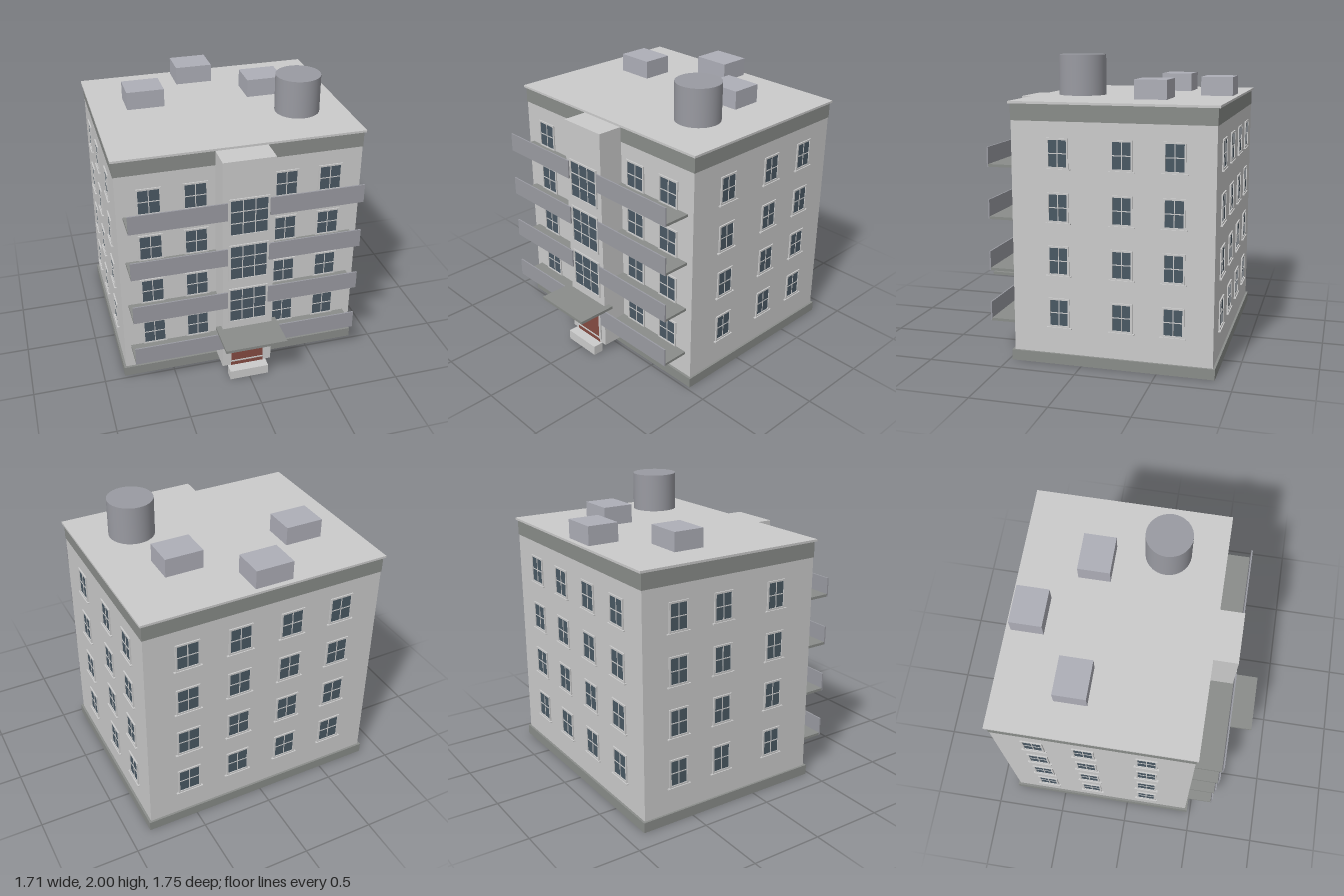
import * as THREE from 'three';

const material = (color) => new THREE.MeshStandardMaterial({ color });
const wallMat = material(0xcccccc);
const trimMat = material(0x8a8d8a);
const railMat = material(0x9a9ba2);
const ventMat = material(0xaeafb8);
const glassMat = material(0x4a5964);
const doorMat = material(0x854b42);

// Box given by its limits on each axis
function box(parent, name, mat, [x0, x1], [y0, y1], [z0, z1]) {
  const mesh = new THREE.Mesh(new THREE.BoxGeometry(x1 - x0, y1 - y0, z1 - z0), mat);
  mesh.position.set((x0 + x1) / 2, (y0 + y1) / 2, (z0 + z1) / 2);
  mesh.name = name;
  parent.add(mesh);
  return mesh;
}

// Window facing +z, bottom centre at the origin, on the wall plane z = 0
function makeWindow(w, h, cols, rows, sill = true) {
  const g = new THREE.Group();
  g.name = 'window';
  const f = 0.012, m = 0.003, d = 0.009;
  box(g, 'glass', glassMat, [-w / 2 + f, w / 2 - f], [f, h - f], [-0.005, 0.003]);
  for (const s of [-1, 1]) {
    const x = s * (w / 2 - f / 2);
    box(g, 'frameSide', wallMat, [x - f / 2, x + f / 2], [0, h], [-0.005, d]);
  }
  for (const y of [0, h - f]) {
    box(g, 'frameRail', wallMat, [-w / 2 + f, w / 2 - f], [y, y + f], [-0.005, d]);
  }
  for (let i = 1; i < cols; i++) {
    const x = -w / 2 + f + (i * (w - 2 * f)) / cols;
    box(g, 'mullion', wallMat, [x - m, x + m], [f, h - f], [0, 0.006]);
  }
  for (let i = 1; i < rows; i++) {
    const y = f + (i * (h - 2 * f)) / rows;
    box(g, 'glazingBar', wallMat, [-w / 2 + f, w / 2 - f], [y - m, y + m], [0, 0.006]);
  }
  if (sill) box(g, 'sill', wallMat, [-w / 2 - 0.013, w / 2 + 0.013], [-0.008, 0], [-0.005, 0.016]);
  return g;
}

export function createModel() {
  const model = new THREE.Group();
  model.name = 'apartmentBlock';

  // Main volume, plinth, upper band and roof
  box(model, 'walls', wallMat, [-0.84, 0.84], [0.03, 1.7], [-0.86, 0.46]);
  box(model, 'plinth', trimMat, [-0.855, 0.855], [0, 0.07], [-0.875, 0.477]);
  box(model, 'upperBand', trimMat, [-0.843, 0.843], [1.593, 1.7], [-0.863, 0.463]);
  box(model, 'roof', wallMat, [-0.855, 0.855], [1.7, 1.715], [-0.876, 0.475]);

  // Projecting stair tower
  box(model, 'stairTower', wallMat, [-0.178, 0.176], [0.07, 1.695], [0.44, 0.64]);

  // Windows on every storey
  const storey = 0.348;
  const place = (win, x, y, z, turn) => {
    win.position.set(x, y, z);
    win.rotation.y = turn;
    model.add(win);
  };
  for (let i = 0; i < 4; i++) {
    const y = 0.25 + i * storey;
    for (const x of [-0.622, -0.312, 0.312, 0.62]) {
      place(makeWindow(0.168, 0.195, 2, 2), x, y, 0.46, 0);
    }
    for (const x of [-0.55, -0.185, 0.185, 0.55]) {
      place(makeWindow(0.168, 0.195, 2, 2), x, y, -0.86, Math.PI);
    }
    for (const s of [-1, 1]) {
      for (const z of [0.15, -0.268, -0.603]) {
        place(makeWindow(0.143, 0.195, 2, 2), s * 0.84, y, z, (s * Math.PI) / 2);
      }
    }
    if (i < 3) place(makeWindow(0.274, 0.28, 3, 3, false), 0, 0.453 + i * storey, 0.64, 0);

    // Balconies: a floor slab with a solid front parapet
    const b = 0.235 + i * storey;
    for (const [x0, x1] of [[-0.795, -0.146], [0.141, 0.79]]) {
      const balcony = new THREE.Group();
      balcony.name = 'balcony';
      box(balcony, 'balconyFloor', trimMat, [x0, x1], [b, b + 0.018], [0.455, 0.645]);
      box(balcony, 'balconyParapet', railMat, [x0, x1], [b, b + 0.13], [0.643, 0.653]);
      model.add(balcony);
    }
  }

  // Entrance: door, surround, step and canopy
  const entrance = new THREE.Group();
  entrance.name = 'entrance';
  box(entrance, 'door', doorMat, [-0.118, 0.116], [0.07, 0.363], [0.63, 0.645]);
  box(entrance, 'doorKickBar', wallMat, [-0.118, 0.116], [0.102, 0.112], [0.64, 0.649]);
  for (const s of [-1, 1]) {
    const x = s * 0.127;
    box(entrance, 'doorPost', wallMat, [x - 0.01, x + 0.01], [0.1, 0.375], [0.635, 0.65]);
  }
  box(entrance, 'doorLintel', wallMat, [-0.117, 0.117], [0.363, 0.375], [0.635, 0.65]);
  box(entrance, 'step', wallMat, [-0.14, 0.138], [0, 0.07], [0.64, 0.714]);
  box(entrance, 'canopy', trimMat, [-0.217, 0.214], [0.38, 0.4], [0.6, 0.876]);
  model.add(entrance);

  // Rooftop housings and water tank
  for (const [x, z] of [[-0.482, -0.37], [0.382, -0.37], [-0.052, -0.732]]) {
    box(model, 'roofHousing', ventMat, [x - 0.131, x + 0.131], [1.71, 1.842], [z - 0.108, z + 0.108]);
  }
  const tank = new THREE.Mesh(new THREE.CylinderGeometry(0.154, 0.154, 0.26, 32), railMat);
  tank.name = 'waterTank';
  tank.position.set(0.5, 1.87, 0.086);
  model.add(tank);

  return model;
}
